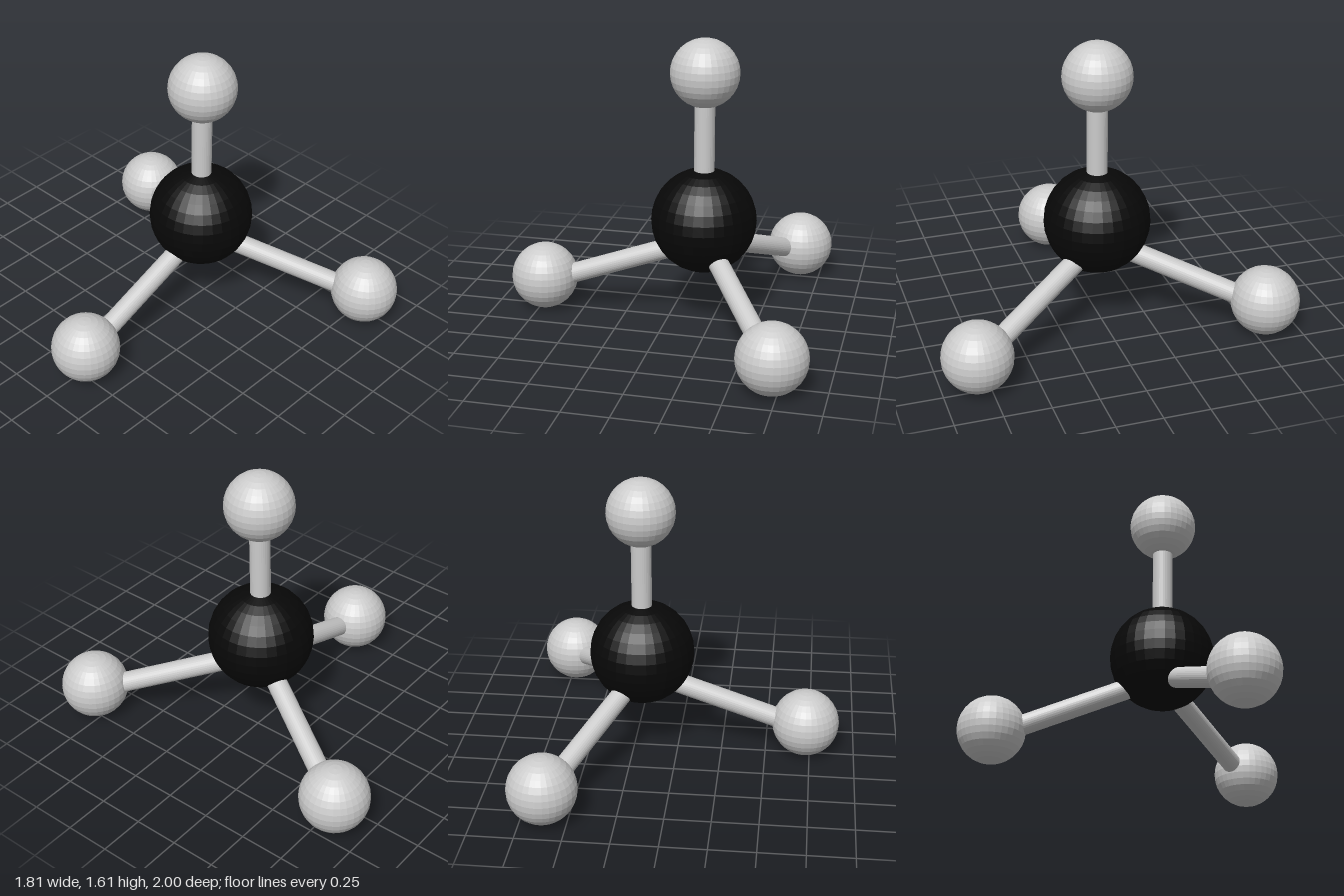
import * as THREE from 'three';

export function createModel() {
  const model = new THREE.Group();
  model.name = 'ballAndStickModel';
  const grey = new THREE.MeshStandardMaterial({ color: 0xcccccc, flatShading: true });
  const black = new THREE.MeshStandardMaterial({ color: 0x080808, flatShading: true });

  function ball(name, radius, position, material) {
    const mesh = new THREE.Mesh(new THREE.SphereGeometry(radius, 32, 16), material);
    mesh.name = name;
    mesh.position.set(...position);
    model.add(mesh);
  }

  // Cylinder stretched between two points
  function rod(name, from, to) {
    const a = new THREE.Vector3(...from);
    const b = new THREE.Vector3(...to);
    const mesh = new THREE.Mesh(new THREE.CylinderGeometry(0.056, 0.056, a.distanceTo(b), 32), grey);
    mesh.name = name;
    mesh.position.copy(a).lerp(b, 0.5);
    mesh.quaternion.setFromUnitVectors(new THREE.Vector3(0, 1, 0), b.sub(a).normalize());
    model.add(mesh);
  }

  // Central ball with the upright rod and ball
  ball('centreBall', 0.29, [0.2, 0.597, 0.01], black);
  ball('topBall', 0.188, [0.2, 1.424, 0.01], grey);
  rod('topRod', [0.2, 0.6, 0.01], [0.2, 1.4, 0.01]);

  // Three lower balls; their rods run slightly below the ball centres
  const feet = { right: [-0.722, 0.02], frontLeft: [0.717, 0.81], backLeft: [0.63, -0.812] };
  for (const [name, [x, z]] of Object.entries(feet)) {
    ball(name + 'Ball', 0.188, [x, 0.19, z], grey);
    const end = new THREE.Vector3(0.205, 0.485, 0).lerp(new THREE.Vector3(x, 0.155, z), 0.93);
    rod(name + 'Rod', [0.205, 0.485, 0], end.toArray());
  }
  return model;
}
